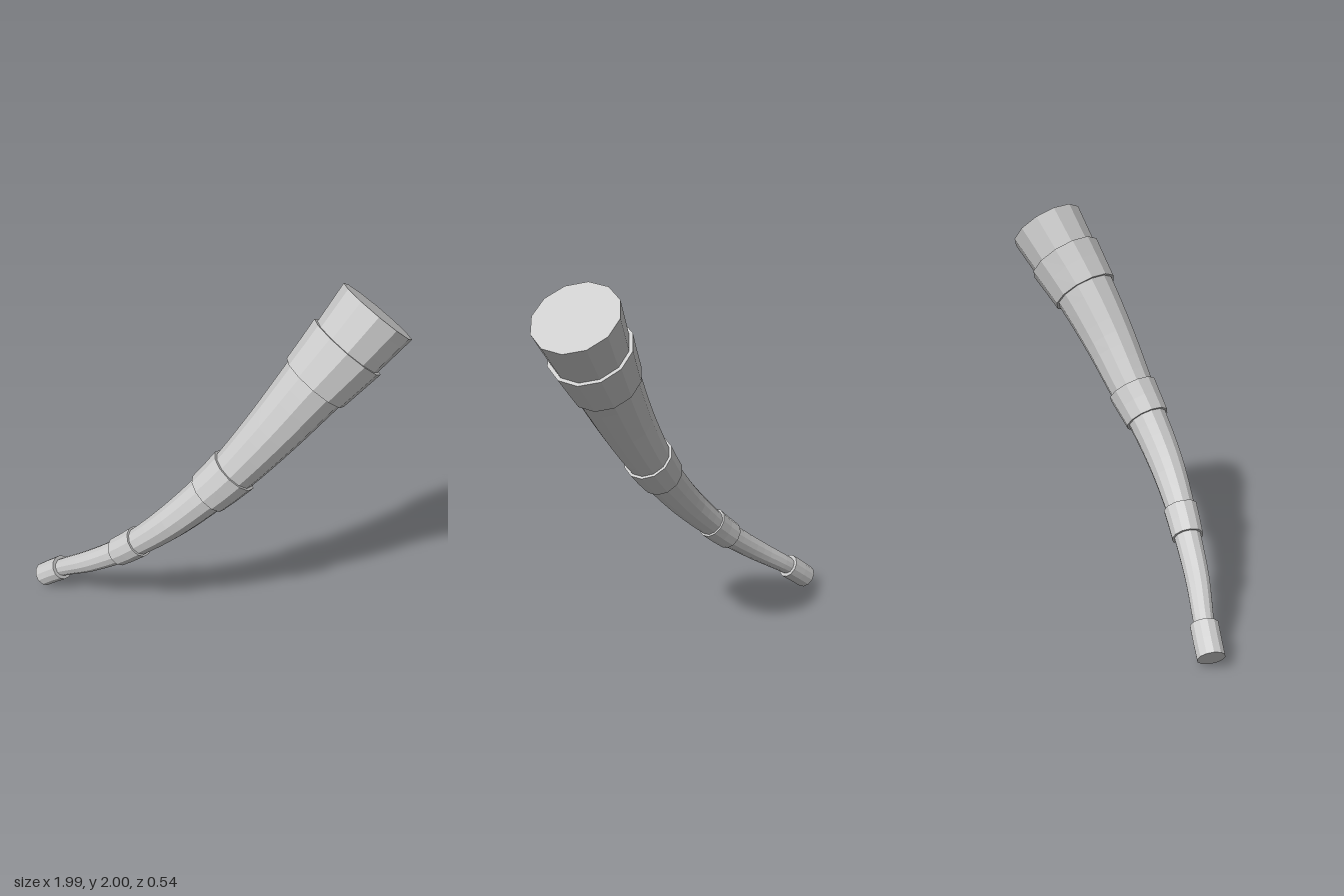
import * as THREE from 'three';

const SIDES = 12, PHASE = 0.33;

// Centre line of the horn with its radius at each station: x, y, z, r
const stations = [
  [-0.955, 0.055, -0.07, 0.048], [-0.828, 0.155, -0.03, 0.05],
  [-0.635, 0.29, 0.05, 0.061], [-0.445, 0.43, 0.108, 0.069],
  [-0.32, 0.537, 0.138, 0.076], [-0.13, 0.715, 0.163, 0.092],
  [0.06, 0.91, 0.155, 0.106], [0.187, 1.048, 0.132, 0.119],
  [0.37, 1.28, 0.095, 0.142], [0.557, 1.53, 0.035, 0.167],
  [0.695, 1.705, -0.02, 0.188], [0.82, 1.873, -0.073, 0.208],
];
const LAST = stations.length - 1;
const curve = new THREE.CatmullRomCurve3(stations.map(([x, y, z]) => new THREE.Vector3(x, y, z)));
const bendAxis = new THREE.Vector3(1, -1, 0).normalize();

// Horn radius at station s (fractions interpolate)
function radiusAt(s) {
  const i = Math.min(Math.floor(s), LAST - 1);
  return THREE.MathUtils.lerp(stations[i][3], stations[i + 1][3], s - i);
}

// Sweep a profile of [station, radius] pairs along the centre line
function sweep(name, profile, material) {
  const pos = [], index = [];
  for (const [s, r] of profile) {
    const c = curve.getPoint(s / LAST), t = curve.getTangent(s / LAST);
    const u = bendAxis.clone().addScaledVector(t, -bendAxis.dot(t)).normalize();
    const v = t.clone().cross(u);
    for (let j = 0; j < SIDES; j++) {
      const a = PHASE + (j / SIDES) * Math.PI * 2;
      const p = c.clone().addScaledVector(u, r * Math.cos(a)).addScaledVector(v, r * Math.sin(a));
      pos.push(p.x, p.y, p.z);
    }
  }
  for (let i = 0; i < profile.length - 1; i++) {
    for (let j = 0; j < SIDES; j++) {
      const k = (j + 1) % SIDES;
      const a = i * SIDES + j, b = i * SIDES + k, c = a + SIDES, d = b + SIDES;
      if (profile[i][1] > 0) index.push(a, b, c);
      if (profile[i + 1][1] > 0) index.push(b, d, c);
    }
  }
  let geo = new THREE.BufferGeometry();
  geo.setAttribute('position', new THREE.Float32BufferAttribute(pos, 3));
  geo.setIndex(index);
  geo = geo.toNonIndexed();
  geo.computeVertexNormals();
  const mesh = new THREE.Mesh(geo, material);
  mesh.name = name;
  return mesh;
}

export function createModel() {
  const group = new THREE.Group();
  group.name = 'horn';
  const material = new THREE.MeshStandardMaterial({ color: 0xcccccc, flatShading: true });

  // Tapering curved body, closed at the wide end
  const body = [];
  for (let s = 0.25; s <= LAST; s += 0.25) body.push([s, radiusAt(s)]);
  body.unshift([0.25, 0]);
  body.push([LAST, 0]);
  group.add(sweep('hornBody', body, material));

  // Mouthpiece sleeve, closed at the tip
  group.add(sweep('mouthpiece', [[0, 0], [0, 0.068], [0.5, 0.069], [1, 0.07], [1, 0.045]], material));

  // Three collars: start station, radius at each end
  const collars = [
    ['lowerCollar', 3, 0.081, 0.088],
    ['middleCollar', 6, 0.119, 0.134],
    ['upperCollar', 9, 0.181, 0.206],
  ];
  for (const [name, s, r0, r1] of collars) {
    const inner0 = radiusAt(s) - 0.01, inner1 = radiusAt(s + 1) - 0.01;
    group.add(sweep(name, [[s, inner0], [s, r0], [s + 0.5, (r0 + r1) / 2], [s + 1, r1], [s + 1, inner1]], material));
  }
  return group;
}
